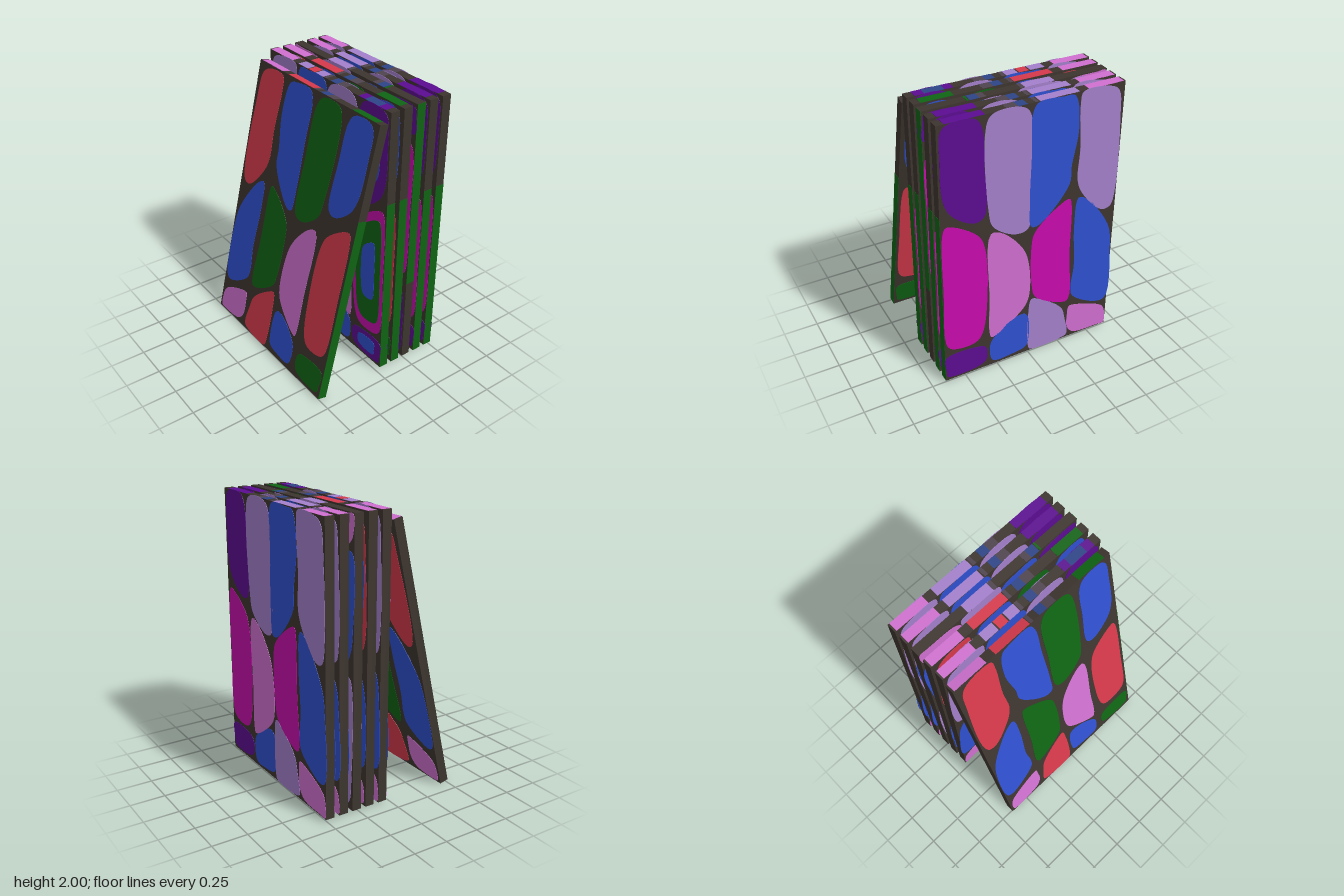
import * as THREE from 'three';

const W = 1.305, H = 1.98, T = 0.066, SKIN = 0.003;

const mat = (name, color) => {
  const m = new THREE.MeshStandardMaterial({ color });
  m.name = name;
  return m;
};
const M = {
  grout: mat('grout', 0x3d352f),
  red: mat('red', 0xd6394b),
  blue: mat('blue', 0x2f50d0),
  green: mat('green', 0x0f6414),
  pink: mat('pink', 0xd070d0),
  lilac: mat('lilac', 0xa480cc),
  purple: mat('purple', 0x5c0d91),
  magenta: mat('magenta', 0xc80cad),
  navy: mat('navy', 0x2d4488),
  mauve: mat('mauve', 0x4f444f),
};

// Stone outlines, one column at a time: top, middle, bottom
const columnA = [
  [[-0.62, 1.68], [-0.595, 1.87], [-0.52, 1.92], [-0.36, 1.915], [-0.345, 1.83], [-0.36, 1.55], [-0.355, 1.33], [-0.4, 1.22], [-0.54, 1.07], [-0.6, 1.08], [-0.635, 1.2]],
  [[-0.37, 1.155], [-0.43, 1.13], [-0.6, 0.88], [-0.64, 0.7], [-0.625, 0.3], [-0.57, 0.28], [-0.37, 0.4], [-0.35, 0.48], [-0.365, 0.65], [-0.35, 0.95]],
  [[-0.345, 0.285], [-0.4, 0.28], [-0.6, 0.19], [-0.63, 0.13], [-0.625, 0.035], [-0.57, 0.025], [-0.39, 0.05], [-0.34, 0.11], [-0.335, 0.22]],
];
const columnB = [
  [[-0.305, 1.68], [-0.27, 1.9], [-0.2, 1.925], [-0.04, 1.925], [-0.005, 1.85], [-0.005, 1.6], [0, 1.25], [-0.015, 1.1], [-0.07, 1.1], [-0.26, 1.32], [-0.27, 1.45]],
  [[-0.285, 1.13], [-0.27, 1.17], [-0.18, 1.13], [-0.04, 1.0], [-0.02, 0.9], [-0.03, 0.6], [-0.06, 0.5], [-0.28, 0.38], [-0.305, 0.42], [-0.29, 0.75]],
  [[-0.03, 0.46], [-0.1, 0.43], [-0.25, 0.3], [-0.28, 0.2], [-0.3, 0.06], [-0.26, 0.035], [-0.03, 0.03], [-0.015, 0.07], [-0.01, 0.35]],
];
const columnC = [
  [[0.03, 1.5], [0.045, 1.86], [0.1, 1.925], [0.27, 1.92], [0.31, 1.85], [0.3, 1.3], [0.27, 1.18], [0.12, 1.08], [0.04, 1.1]],
  [[0.285, 1.08], [0.22, 1.07], [0.07, 0.9], [0.025, 0.73], [0.03, 0.5], [0.08, 0.42], [0.28, 0.29], [0.295, 0.33], [0.295, 0.6]],
  [[0.03, 0.33], [0.06, 0.36], [0.15, 0.34], [0.28, 0.23], [0.295, 0.15], [0.27, 0.06], [0.15, 0.055], [0.04, 0.08], [0.02, 0.15]],
];
const columnD = [
  [[0.36, 1.6], [0.375, 1.86], [0.42, 1.92], [0.57, 1.925], [0.61, 1.88], [0.62, 1.72], [0.61, 1.45], [0.56, 1.34], [0.42, 1.25], [0.36, 1.28]],
  [[0.6, 1.22], [0.55, 1.21], [0.4, 1.1], [0.36, 1.0], [0.345, 0.7], [0.38, 0.36], [0.43, 0.3], [0.58, 0.31], [0.62, 0.36], [0.63, 0.75], [0.62, 1.18]],
  [[0.36, 0.19], [0.41, 0.215], [0.63, 0.21], [0.63, 0.1], [0.62, 0.055], [0.4, 0.055], [0.355, 0.09]],
];
const stones = [columnA, columnB, columnC, columnD].flat();

// Stone colours in the same order
const bright = ['red', 'blue', 'pink', 'blue', 'green', 'red', 'green', 'pink', 'blue', 'blue', 'red', 'green'];
const violet = ['lilac', 'blue', 'pink', 'blue', 'magenta', 'lilac', 'lilac', 'pink', 'blue', 'purple', 'magenta', 'purple'];

// Strips of colour along the narrow edges: [from x, to x, colour]
const common = [[-0.64, -0.385, 'pink'], [-0.025, 0, 'mauve'], [0.05, 0.115, 'navy'], [0.115, 0.19, 'mauve']];
const topBright = [...common, [-0.31, -0.03, 'red'], [0.385, 0.605, 'green']];
const topViolet = [...common, [-0.315, -0.035, 'lilac'], [0.335, 0.6, 'purple']];
const topMixed = [...common, [-0.31, -0.205, 'lilac'], [-0.195, -0.125, 'red'], [-0.115, -0.03, 'lilac'],
  [0.34, 0.4, 'purple'], [0.4, 0.535, 'navy'], [0.535, 0.6, 'purple']];
const bottomStrips = [[-0.26, -0.05, 'lilac'], [-0.05, -0.02, 'mauve'], [0.22, 0.265, 'mauve'], [0.265, 0.33, 'navy'], [0.335, 0.35, 'green']];

function box(name, w, h, d, x, y, z, material) {
  const m = new THREE.Mesh(new THREE.BoxGeometry(w, h, d), material);
  m.name = name;
  m.position.set(x, y, z);
  return m;
}

// Smooth thin plate from an outline, scaled about its own middle
function stonePlate(outline, sx, sy) {
  const pts = outline.map(([x, y]) => new THREE.Vector3(x, (y - 0.02) / 0.972, 0));
  const c = new THREE.Box3().setFromPoints(pts).getCenter(new THREE.Vector3());
  for (const p of pts) {
    p.x = THREE.MathUtils.clamp(c.x + (p.x - c.x) * sx, -0.645, 0.645);
    p.y = THREE.MathUtils.clamp(c.y + (p.y - c.y) * sy, 0.008, H - 0.008);
  }
  const line = new THREE.CatmullRomCurve3(pts, true).getPoints(56).slice(0, -1);
  const shape = new THREE.Shape(line.map(p => new THREE.Vector2(p.x, p.y)));
  return new THREE.ExtrudeGeometry(shape, { depth: SKIN, bevelEnabled: false });
}

function addFace(panel, side, colours, inner) {
  const big = colours === violet;
  const put = (i, sx, sy, colour, level) => {
    const m = new THREE.Mesh(stonePlate(stones[i], sx, sy), M[colour]);
    m.name = 'stone';
    m.position.z = side > 0 ? T / 2 - 0.001 + level * 0.002 : -T / 2 - SKIN + 0.001 - level * 0.002;
    panel.add(m);
  };
  colours.forEach((c, i) => put(i, big ? 1.13 : 1, big ? 1.07 : 1, c, 0));
  for (const [i, scale, c, level] of inner) put(i, scale, scale, c, level);
}

function makePanel(name, front, back, top, inner = []) {
  const g = new THREE.Group();
  g.name = name;
  g.add(box('slab', W, H, T, 0, H / 2, 0, M.grout));
  addFace(g, 1, front, inner);
  addFace(g, -1, back, []);
  // painted narrow edges
  g.add(box('sideStrip', SKIN, 1.34, T, W / 2, 0.67, 0, M.green));
  for (const [strips, y] of [[top, H], [bottomStrips, 0]])
    for (const [a, b, c] of strips)
      g.add(box('edgeStrip', b - a, SKIN, T, (a + b) / 2, y, 0, M[c]));
  return g;
}

export function createModel() {
  const model = new THREE.Group();
  model.name = 'stonePanels';

  // panel leaning against the row
  const lean = makePanel('leaningPanel', bright, bright, topBright);
  lean.position.set(0, 0.01, 0.478);
  lean.rotation.x = -0.234;
  model.add(lean);

  // nested stones on the first upright panel
  const nested = [[0, 0.7, 'green', 1], [9, 0.6, 'blue', 1], [10, 0.9, 'green', 1], [10, 0.5, 'blue', 2], [11, 0.65, 'blue', 1]];
  const row = [
    [violet, violet, topMixed, nested],
    [bright, bright, topBright, []],
    [violet, violet, topViolet, []],
    [violet, violet, topViolet, []],
    [violet, violet, topViolet, []],
  ];
  row.forEach(([front, back, top, inner], i) => {
    const p = makePanel('uprightPanel' + (i + 1), front, back, top, inner);
    p.position.set(0, 0.02, -0.063 - i * 0.1035);
    if (i === 2) { // middle panel stands upside down
      p.rotation.x = Math.PI;
      p.position.y = 0.02 + H;
    }
    model.add(p);
  });
  return model;
}
